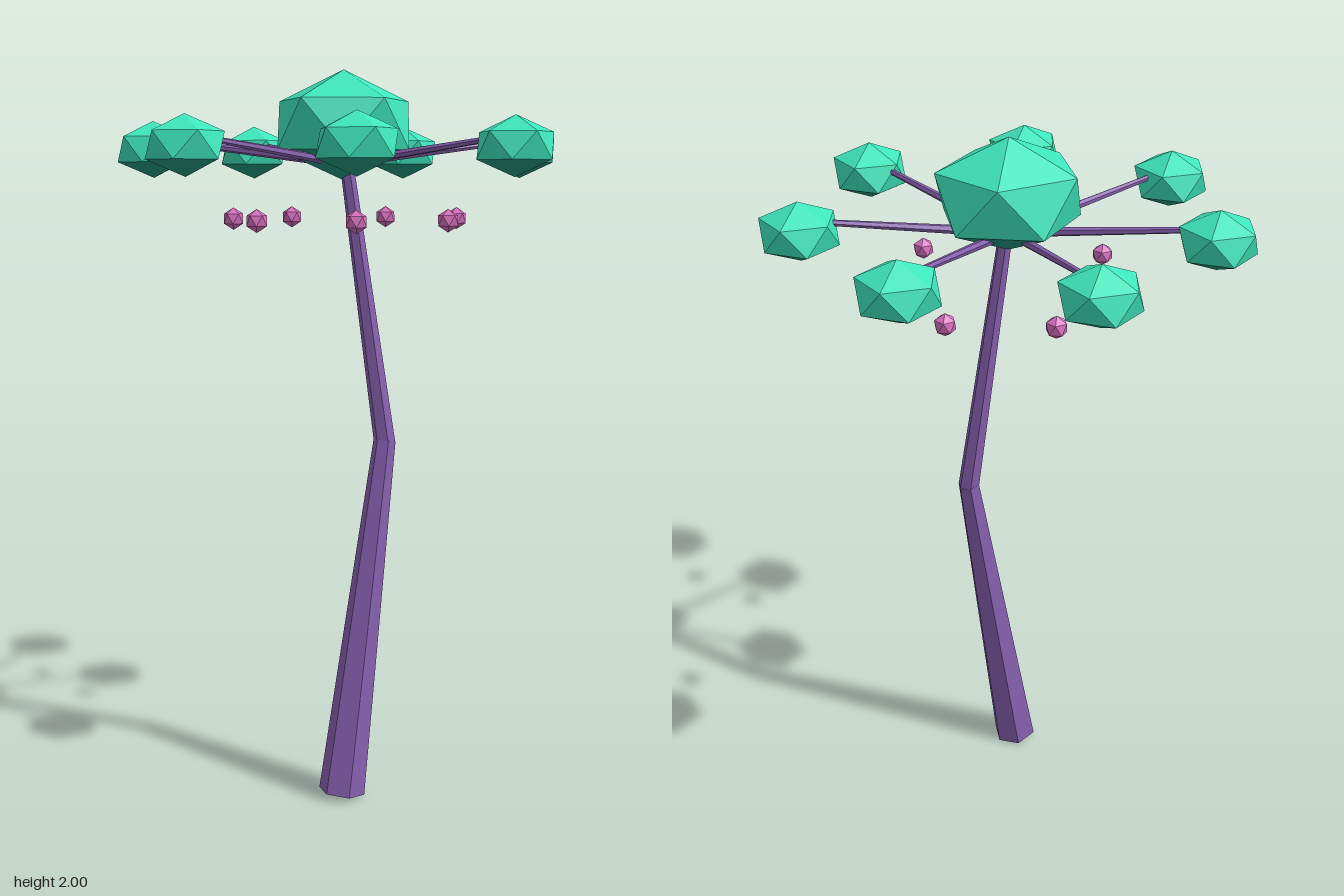
import * as THREE from 'three';

const paint = (name, color) => {
  const m = new THREE.MeshStandardMaterial({ color, flatShading: true });
  m.name = name;
  return m;
};

export function createModel() {
  const tree = new THREE.Group();
  tree.name = 'tree';
  const bark = paint('purple bark', 0x8860b0);
  const leaf = paint('teal foliage', 0x3ee6bb);
  const shade = paint('dark teal underside', 0x239a80);
  const berry = paint('pink berry', 0xd76fbf);

  // Twenty-sided ball standing on one of its points
  const ball = new THREE.IcosahedronGeometry(1, 0);
  ball.rotateZ(-Math.atan(2 / (1 + Math.sqrt(5))));

  // Foliage ball: the five faces underneath take the second material
  const foliage = ball.clone();
  const p = foliage.getAttribute('position');
  for (let i = 0; i < p.count; i += 3) {
    const height = (p.getY(i) + p.getY(i + 1) + p.getY(i + 2)) / 3;
    foliage.addGroup(i, 3, height < -0.5 ? 1 : 0);
  }

  const addBall = (name, geometry, material, position, size, yaw = 0) => {
    const mesh = new THREE.Mesh(geometry, material);
    mesh.name = name;
    mesh.position.set(...position);
    mesh.scale.set(...size);
    mesh.rotation.y = yaw;
    tree.add(mesh);
  };

  // Tapered six-sided limb between two points
  const addLimb = (name, from, to, r0, r1) => {
    const a = new THREE.Vector3(...from);
    const dir = new THREE.Vector3(...to).sub(a);
    const length = dir.length();
    const geometry = new THREE.CylinderGeometry(r1, r0, length, 6);
    geometry.translate(0, length / 2, 0);
    const mesh = new THREE.Mesh(geometry, bark);
    mesh.name = name;
    mesh.position.copy(a);
    mesh.quaternion.setFromUnitVectors(new THREE.Vector3(0, 1, 0), dir.normalize());
    tree.add(mesh);
  };

  // Bent trunk
  addLimb('lowerTrunk', [-0.066, 0.013, 0.112], [0.083, 1, 0.045], 0.065, 0.031);
  addLimb('upperTrunk', [0.083, 0.995, 0.045], [-0.02, 1.8, 0.002], 0.03, 0.018);

  // Crown
  addBall('crown', foliage, [leaf, shade], [-0.02, 1.855, -0.002], [0.207, 0.145, 0.19]);

  // Outer leaf clusters on branches
  const clusters = [
    [0.5, 0], [0.305, -0.405], [-0.133, -0.51], [-0.49, -0.238],
    [-0.5, 0.213], [-0.158, 0.505], [0.284, 0.425],
  ];
  for (const [x, z] of clusters) {
    addLimb('branch', [-0.02, 1.755, 0], [x, 1.82, z], 0.013, 0.007);
    addBall('leafCluster', foliage, [leaf, shade], [x, 1.793, z], [0.109, 0.076, 0.109], -0.2);
  }

  // Ring of hanging berries
  const berries = [
    [0.29, 0.045], [0.173, -0.2], [-0.09, -0.262], [-0.303, -0.098],
    [-0.31, 0.17], [-0.105, 0.347], [0.16, 0.298],
  ];
  for (const [x, z] of berries) {
    addBall('berry', ball, berry, [x, 1.608, z], [0.03, 0.03, 0.03]);
  }

  return tree;
}
